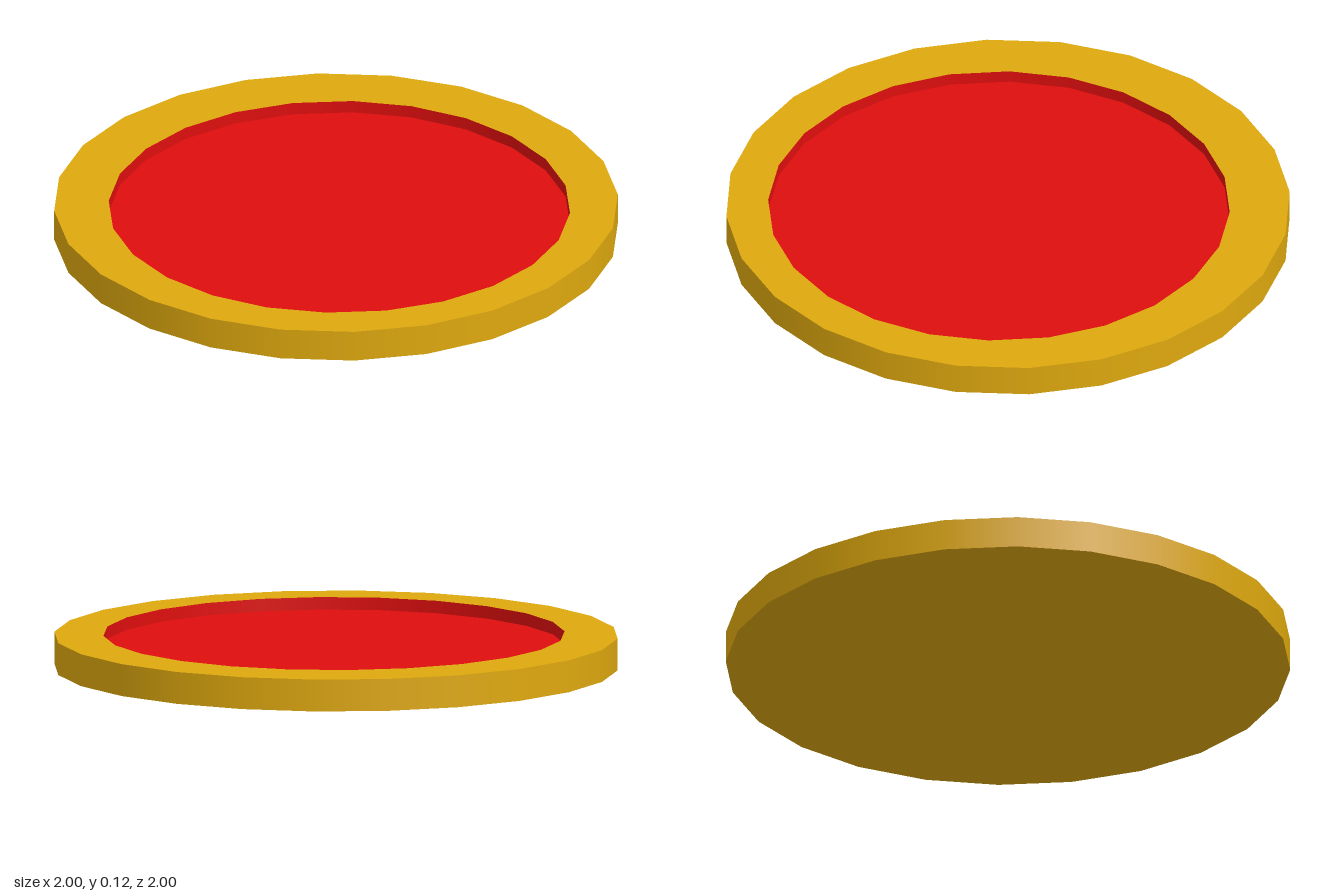
import * as THREE from 'three';

const SIDES = 24;
const HEIGHT = 0.115;
const FLOOR = 0.07;
const DEG = Math.PI / 180;
// turn is measured from +x towards +z
const OUTER = { x: 0, z: 0, r: 1.006, turn: -6.4 * DEG };
const INNER = { x: -0.013, z: 0.032, r: 0.823, turn: 0.56 * DEG };

// Corners of a ring as shape points (shape y becomes -z when laid flat)
function corners({ x, z, r, turn }) {
  return Array.from({ length: SIDES }, (_, i) => {
    const a = turn + (i / SIDES) * Math.PI * 2;
    return new THREE.Vector2(x + r * Math.cos(a), -(z + r * Math.sin(a)));
  });
}

// Smooth upright wall; running from high to low makes it face inwards
function wall({ x, z, r, turn }, from, to) {
  const profile = [new THREE.Vector2(r, from), new THREE.Vector2(r, to)];
  return new THREE.LatheGeometry(profile, SIDES, -turn).translate(x, 0, z);
}

// Flat horizontal face, looking up
function flat(ring, y, hole) {
  const shape = new THREE.Shape(corners(ring));
  if (hole) shape.holes.push(new THREE.Path(corners(hole)));
  return new THREE.ShapeGeometry(shape).rotateX(-Math.PI / 2).translate(0, y, 0);
}

export function createModel() {
  const model = new THREE.Group();
  model.name = 'roundTray';
  const gold = new THREE.MeshStandardMaterial({ color: 0xdea80e });
  const red = new THREE.MeshStandardMaterial({ color: 0xde0e0e });

  const add = (name, geometry, material) => {
    const mesh = new THREE.Mesh(geometry, material);
    mesh.name = name;
    model.add(mesh);
  };

  // Gold body
  add('outerWall', wall(OUTER, 0, HEIGHT), gold);
  add('rim', flat(OUTER, HEIGHT, INNER), gold);
  // The underside is the same face turned over, so its ring is mirrored first
  add('underside', flat({ ...OUTER, turn: -OUTER.turn }, 0).rotateX(Math.PI), gold);

  // Red recess, slightly off centre
  add('recessWall', wall(INNER, HEIGHT, FLOOR), red);
  add('recessFloor', flat(INNER, FLOOR), red);

  return model;
}
